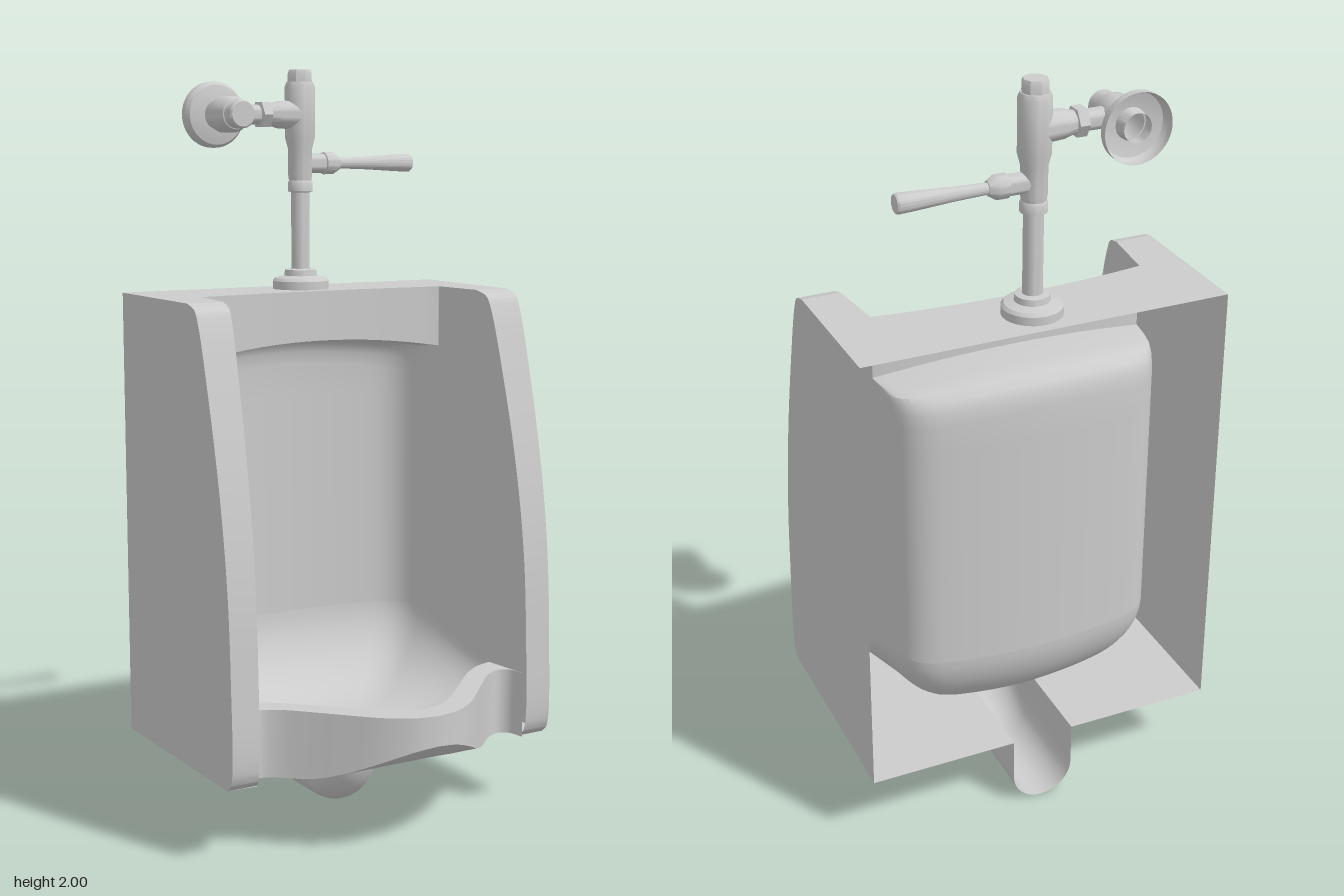
import * as THREE from 'three';
import { toCreasedNormals } from 'three/addons/utils/BufferGeometryUtils.js';

const material = new THREE.MeshStandardMaterial({ color: 0xcccccc, side: THREE.DoubleSide });
const lerp = THREE.MathUtils.lerp;
const W = 0.485, BACK = -0.41, FLOOR = 0.2, TOP = 1.41, RIM = 0.38;

function add(parent, name, geometry) {
  const mesh = new THREE.Mesh(geometry, material);
  mesh.name = name;
  parent.add(mesh);
  return mesh;
}

// Surface through rows of [x, y, z] points
function grid(rows) {
  const n = rows[0].length, index = [];
  for (let j = 0; j < rows.length - 1; j++)
    for (let i = 0; i < n - 1; i++) {
      const a = j * n + i, b = a + n;
      index.push(a, b, a + 1, b, b + 1, a + 1);
    }
  const g = new THREE.BufferGeometry();
  g.setAttribute('position', new THREE.Float32BufferAttribute(rows.flat(2), 3));
  g.setIndex(index);
  return toCreasedNormals(g, 0.6);
}

// Smooth 2D curve as [a, b] pairs
function smooth(points, n) {
  return new THREE.CatmullRomCurve3(points.map(([a, b]) => new THREE.Vector3(a, b, 0)))
    .getPoints(n).map((p) => [p.x, p.y]);
}

// Curve given from the centre out to +x, completed from -x to +x
const mirrored = (half) => [...half.slice(1).reverse().map(([x, z]) => [-x, z]), ...half];

const flat = (points) => new THREE.ShapeGeometry(
  new THREE.Shape(points.map(([a, b]) => new THREE.Vector2(a, b))));
const plate = (points, y) => flat(points).rotateX(Math.PI / 2).translate(0, y, 0);

// Front edge of the side panels, as [z, y] from bottom to top
const profile = smooth([[0.185, FLOOR], [0.208, 0.225], [0.21, 0.5], [0.196, 0.72], [0.16, 0.95],
  [0.1, 1.2], [0.052, 1.36], [0.032, 1.395], [-0.01, TOP]], 64);
function frontZ(y) {
  for (let i = 1; i < profile.length; i++) {
    const [z0, y0] = profile[i - 1], [z1, y1] = profile[i];
    if (y <= y1) return lerp(z0, z1, (y - y0) / (y1 - y0));
  }
  return profile.at(-1)[0];
}

// Inner cheek position, and the horizontal section of the alcove (d = 0 header, 1 full depth)
const cheekX = (z) => 0.385 + 0.11 * z;
function section(y, d) {
  const zf = frontZ(y), z1 = Math.min(0.06, zf);
  const zc = lerp(-0.17, -0.335, d), zm = lerp(-0.195, -0.385, d), r = 0.002 + 0.08 * d;
  const xc = cheekX(zc), arc = (x) => zm + (zc - zm) * (x / xc) ** 2;
  const half = [[cheekX(zf), zf], [cheekX(z1), z1]];
  for (let k = 1; k <= 6; k++) {
    const z = lerp(z1, zc + r, k / 6);
    half.push([cheekX(z), z]);
  }
  const corner = new THREE.QuadraticBezierCurve(new THREE.Vector2(cheekX(zc + r), zc + r),
    new THREE.Vector2(xc, zc), new THREE.Vector2(xc - r, arc(xc - r)));
  corner.getPoints(6).slice(1).forEach((p) => half.push([p.x, p.y]));
  for (let k = 1; k <= 8; k++) {
    const x = (xc - r) * (1 - k / 8);
    half.push([x, arc(x)]);
  }
  return [...half, ...half.slice(0, -1).reverse().map(([x, z]) => [-x, z])];
}

function buildBody() {
  const body = new THREE.Group();
  body.name = 'body';

  // Side panels and their front strips
  for (const s of [1, -1]) {
    add(body, 'sidePanel', flat([[BACK, FLOOR], ...profile, [BACK, TOP]])
      .rotateY(-Math.PI / 2).translate(s * W, 0, 0));
    add(body, 'sideFront', grid([W, 0].map((outer) =>
      profile.map(([z, y]) => [s * (outer || cheekX(z)), y, z]))));
  }

  // Top with its cut-out
  const zTop = profile.at(-1)[0];
  add(body, 'top', plate([[W, BACK], [W, zTop], ...section(TOP, 0), [-W, zTop], [-W, BACK]], TOP));

  // Alcove: header, overhang, cheeks and curved back wall
  const levels = [[TOP, 0], [1.408, 0], [1.4, 0], [1.385, 0], [1.36, 0], [1.32, 0], [1.275, 0],
    [1.272, 0.5], [1.265, 0.8], [1.25, 0.92], [1.225, 0.98], [1.19, 1], [1.1, 1], [1, 1],
    [0.9, 1], [0.8, 1], [0.7, 1], [0.6, 1], [0.52, 1]];
  const alcove = levels.map(([y, d]) => {
    const sag = y < 1.3 && y > 1.18 ? 0.03 : 0;
    return section(y, d).map(([x, z]) => [x, y - sag * (x / 0.36) ** 2, z]);
  });
  const base = section(RIM, 1).map(([x, z]) =>
    [x, RIM + 0.1 * THREE.MathUtils.smoothstep(0.06 - z, 0, 0.36), z]);
  add(body, 'alcove', grid([...alcove, base]));

  // Bowl: rim loop rounding down into the drain hole
  const inner = mirrored(smooth([[0, 0.34], [0.06, 0.325], [0.12, 0.28], [0.2, 0.2],
    [0.28, 0.12], [0.34, 0.077], [cheekX(0.06), 0.06]], 18));
  const loop = [...base.slice(1, -1), ...inner.slice(1).map(([x, z]) => [x, RIM, z])];
  const dz = -0.045, bowl = [];
  for (let j = 0; j <= 14; j++) {
    const t = j / 14 * Math.PI / 2, k = Math.cos(t) ** 0.9, drop = Math.sin(t) ** 1.1;
    bowl.push(loop.map(([x, y, z]) => {
      const f = 0.065 / Math.hypot(x, z - dz);
      const s = j === 14 ? f : lerp(f, 1, k);
      return [x * s, lerp(y, 0.235, drop), dz + (z - dz) * s];
    }));
  }
  bowl.push(bowl.at(-1).map(([x, , z]) => [x, 0.19, z]));
  add(body, 'bowl', grid(bowl));

  // Lip: flat rim, outer face and sloping underside
  const outer = mirrored(smooth([[0, 0.41], [0.06, 0.398], [0.13, 0.355], [0.2, 0.285],
    [0.28, 0.2], [0.33, 0.155], [0.37, 0.138], [0.397, 0.155], [0.407, 0.2]], 28));
  const under = (z) => FLOOR + 0.1 * Math.max(0, (z - 0.2) / 0.21) ** 1.5;
  add(body, 'lipRim', plate([...outer, ...[...inner].reverse()], RIM));
  add(body, 'lipFace', grid([
    outer.map(([x, z]) => [x, RIM, z]), outer.map(([x, z]) => [x, under(z), z])]));
  add(body, 'lipUnderside', grid([0, 0.25, 0.5, 0.75, 1].map((t) => outer.map(([x, z]) => {
    const q = lerp(Math.min(0.19, z), z, t);
    return [x, under(q), q];
  }))));

  // Bottom, notched for the drain channel
  const notch = [];
  for (let k = 0; k <= 16; k++) {
    const a = k / 16 * Math.PI;
    notch.push([0.085 * Math.cos(a), -0.05 + 0.085 * Math.sin(a)]);
  }
  add(body, 'bottom', plate([[-W, BACK], [-W, 0.185],
    ...outer.map(([x, z]) => [x, Math.min(z, 0.19)]), [W, 0.185], [W, BACK],
    [0.085, BACK], ...notch, [-0.085, BACK]], FLOOR));

  // Drain channel: U section turning from down to backwards
  const u = [[0.085, 0], ...Array.from({ length: 17 }, (_, k) => {
    const a = k / 16 * Math.PI;
    return [0.085 * Math.cos(a), 0.115 + 0.085 * Math.sin(a)];
  }), [-0.085, 0]];
  const channel = [];
  for (let k = 0; k <= 14; k++) {
    const a = k / 14 * Math.PI / 2;
    channel.push(u.map(([x, r]) => [x, FLOOR - r * Math.sin(a), -0.14 + 0.875 * r * Math.cos(a)]));
  }
  channel.push(u.map(([x, r]) => [x, FLOOR - r, BACK]));
  add(body, 'drainChannel', grid(channel));
  return body;
}

function buildValve() {
  const valve = new THREE.Group();
  valve.name = 'flushValve';
  valve.position.z = -0.305;

  // Turned part from [radius, distance] pairs along an axis
  const turned = (name, points, axis = 'y', sides = 32) => {
    const g = toCreasedNormals(new THREE.LatheGeometry(
      points.map(([r, h]) => new THREE.Vector2(r, h)), sides), 0.6);
    if (axis === 'x') g.rotateZ(-Math.PI / 2);
    if (axis === 'z') g.rotateX(Math.PI / 2);
    return add(valve, name, g);
  };

  // Upright supply pipe with its base collar
  turned('baseCollar', [[0.077, 1.41], [0.077, 1.432], [0.07, 1.44], [0.045, 1.446],
    [0.043, 1.462], [0.026, 1.465]]);
  turned('pipe', [[0.025, 1.45], [0.025, 1.69]], 'y', 24);
  turned('coupling', [[0.025, 1.672], [0.034, 1.675], [0.034, 1.698], [0.03, 1.705]]);
  turned('valveBody', [[0.03, 1.7], [0.033, 1.72], [0.033, 1.79], [0.041, 1.82], [0.041, 1.955],
    [0.036, 1.968], [0, 1.968]]);
  turned('valveCap', [[0.034, 1.96], [0.034, 1.99], [0.03, 2], [0, 2]], 'y', 8);

  // Lever on the left
  turned('leverSocket', [[0, 0], [0.026, 0], [0.026, 0.07], [0.03, 0.072], [0.03, 0.1],
    [0.018, 0.12], [0, 0.12]], 'x').position.y = 1.75;
  turned('leverHandle', [[0.014, 0.11], [0.017, 0.2], [0.023, 0.3], [0.025, 0.345],
    [0.022, 0.35], [0, 0.35]], 'x', 20).position.y = 1.75;

  // Arm to the stop valve on the right
  turned('arm', [[0.026, -0.21], [0.026, -0.12], [0.03, -0.09], [0.036, -0.07], [0.04, 0]],
    'x').position.y = 1.88;
  turned('armNut', [[0.026, -0.13], [0.038, -0.126], [0.038, -0.1], [0.026, -0.096]],
    'x', 6).position.y = 1.88;

  // Stop valve and bell-shaped wall flange
  turned('stopValve', [[0.036, -0.1], [0.04, -0.06], [0.048, -0.03], [0.048, 0.025], [0.04, 0.045],
    [0.037, 0.046], [0.037, 0.08], [0.033, 0.085], [0, 0.085]], 'z').position.set(-0.215, 1.88, 0);
  turned('wallFlange', [[0.088, -0.105], [0.088, -0.085], [0.08, -0.073], [0.055, -0.066],
    [0.036, -0.064]], 'z', 40).position.set(-0.215, 1.88, 0);
  return valve;
}

export function createModel() {
  const model = new THREE.Group();
  model.name = 'urinal';
  model.add(buildBody(), buildValve());
  return model;
}
